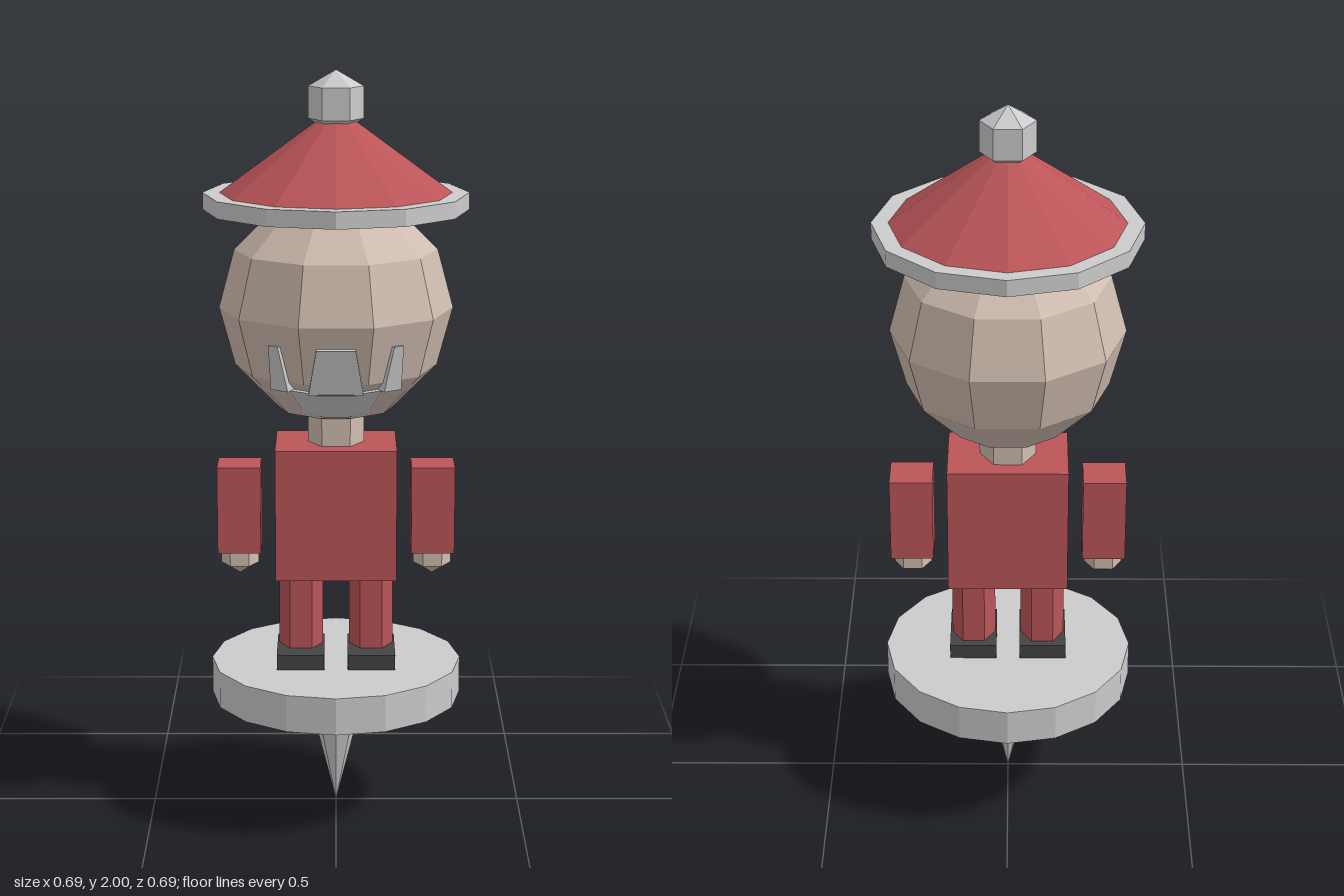
import * as THREE from 'three';

const material = (color) => new THREE.MeshStandardMaterial({ color, flatShading: true });

export function createModel() {
  const group = new THREE.Group();
  const grey = material(0xcccccc);
  const red = material(0xbb5558);
  const skin = material(0xd0bdb0);
  const dark = material(0x444444);

  const add = (name, geometry, mat, x, y, z = 0) => {
    const mesh = new THREE.Mesh(geometry, mat);
    mesh.name = name;
    mesh.position.set(x, y, z);
    group.add(mesh);
    return mesh;
  };
  // Upright prism with corners on the x axis
  const prism = (rTop, rBottom, height, sides) =>
    new THREE.CylinderGeometry(rTop, rBottom, height, sides).rotateY(Math.PI / 2);

  // Spinning base
  add('baseDisc', prism(0.336, 0.336, 0.1, 16), grey, 0, 0.365);
  add('baseSpike', prism(0.08, 0, 0.32, 8), grey, 0, 0.16);

  // Torso and neck
  add('torso', new THREE.BoxGeometry(0.32, 0.355, 0.23), red, 0, 0.8425);
  add('neck', prism(0.075, 0.075, 0.12, 6), skin, 0, 1.05);

  // Limbs, mirrored
  for (const [side, s] of [['left', 1], ['right', -1]]) {
    add(side + 'Shoe', new THREE.BoxGeometry(0.127, 0.042, 0.185), dark, s * 0.095, 0.435, 0.018);
    add(side + 'Leg', prism(0.059, 0.059, 0.23, 6), red, s * 0.094, 0.565);
    add(side + 'Arm', new THREE.BoxGeometry(0.115, 0.235, 0.113), red, s * 0.258, 0.842);
    add(side + 'Hand', new THREE.SphereGeometry(0.058, 6, 3), skin, s * 0.258, 0.713);
  }

  // Head
  add('head', new THREE.SphereGeometry(0.307, 10, 6), skin, 0, 1.382);

  // Beard bowl: a frustum sheared back under the chin
  const bowl = prism(0.147, 0.1, 0.085, 10);
  const p = bowl.attributes.position;
  for (let i = 0; i < p.count; i++) p.setZ(i, p.getZ(i) + (p.getY(i) > 0 ? 0.137 : 0.068));
  add('beard', bowl, grey, 0, 1.165);

  // Beard prongs: slabs that widen and lean back towards the bowl
  const prong = (topWidth, bottomWidth, depth) => {
    const g = new THREE.BoxGeometry(1, 0.12, depth);
    const q = g.attributes.position;
    for (let i = 0; i < q.count; i++) {
      const top = q.getY(i) > 0;
      q.setX(i, q.getX(i) * (top ? topWidth : bottomWidth));
      q.setZ(i, q.getZ(i) + (top ? 0.013 : -0.013));
    }
    return g;
  };
  add('beardFront', prong(0.1, 0.14, 0.05), grey, 0, 1.265, 0.263);
  for (const s of [1, -1]) {
    add('beardSide', prong(0.03, 0.055, 0.05), grey, s * 0.138, 1.265, 0.208).rotation.y = s * 0.63;
  }

  // Hat
  add('hatBrim', prism(0.347, 0.347, 0.044, 12), grey, 0, 1.662);
  add('hatCone', prism(0, 0.303, 0.222, 12), red, 0, 1.795);
  add('hatKnob', new THREE.SphereGeometry(0.083, 6, 3), grey, 0, 1.917);

  return group;
}
